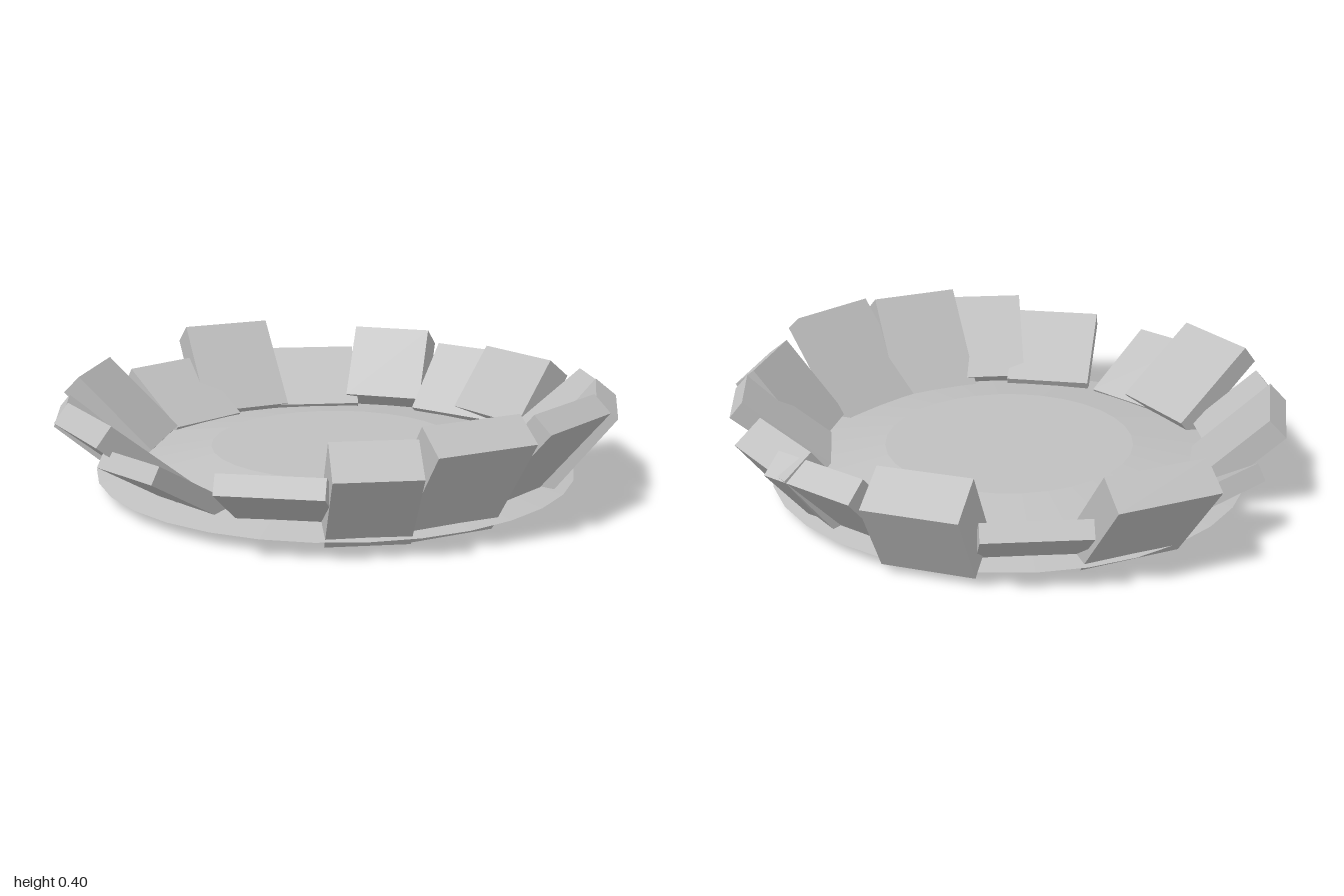
import * as THREE from 'three';

const stone = new THREE.MeshStandardMaterial({ color: 0xc0c0c0 });
stone.name = 'stone grey';

// Rim slabs: x, z and height of the inner top edge, heading, width, lean, thickness, lowest y
// (angles in degrees; heading 0 faces the front)
const slabs = [
  [0.30, 0.82, 0.40, 19, 0.33, 35, 0.12, 0.0],
  [0.62, 0.67, 0.40, 42, 0.34, 40, 0.08, 0.01],
  [0.835, 0.30, 0.35, 73, 0.33, 38, 0.09, 0.02],
  [0.905, 0.03, 0.33, 91, 0.27, 50, 0.07, 0.04],
  [0.745, -0.39, 0.33, 121, 0.34, 37, 0.12, 0.04],
  [0.63, -0.585, 0.31, 138, 0.35, 41, 0.09, 0.025],
  [0.32, -0.775, 0.36, 157, 0.30, 30, 0.16, 0.03],
  [0.01, -0.92, 0.26, 179, 0.33, 53, 0.06, 0.03],
  [-0.345, -0.85, 0.38, -162, 0.34, 38, 0.12, 0.01],
  [-0.60, -0.69, 0.26, -142, 0.31, 57, 0.06, 0.03],
  [-0.84, -0.29, 0.34, -106, 0.335, 45, 0.08, 0.03],
  [-0.92, 0.02, 0.28, -90, 0.28, 50, 0.05, 0.05],
  [-0.82, 0.39, 0.34, -64, 0.345, 50, 0.08, 0.04],
  [-0.685, 0.615, 0.26, -50, 0.26, 58, 0.06, 0.03],
  [-0.29, 0.905, 0.28, -15, 0.32, 60, 0.065, 0.04],
  [0.005, 0.88, 0.365, 0, 0.26, 39, 0.14, 0.01],
];

// A slab that leans outwards, hung from its inner top edge
function makeSlab([x, z, top, heading, width, lean, depth, low]) {
  const tilt = THREE.MathUtils.degToRad(lean);
  const length = (top - depth * Math.sin(tilt) - low) / Math.cos(tilt);
  const geometry = new THREE.BoxGeometry(width, length, depth);
  geometry.translate(0, -length / 2, depth / 2);
  geometry.rotateX(tilt);
  const mesh = new THREE.Mesh(geometry, stone);
  mesh.rotation.y = THREE.MathUtils.degToRad(heading);
  mesh.position.set(x, top, z);
  return mesh;
}

export function createModel() {
  const model = new THREE.Group();
  model.name = 'crater';

  // Shallow faceted floor rising to a flat middle
  const floorGeometry = new THREE.CylinderGeometry(0.435, 0.83, 0.07, 32).toNonIndexed();
  floorGeometry.computeVertexNormals();
  const floor = new THREE.Mesh(floorGeometry, stone);
  floor.name = 'craterFloor';
  floor.position.y = 0.077;
  model.add(floor);

  // Ring of broken slabs around the rim
  const rim = new THREE.Group();
  rim.name = 'rimSlabs';
  slabs.forEach((spec, i) => {
    const slab = makeSlab(spec);
    slab.name = `rimSlab${i + 1}`;
    rim.add(slab);
  });
  model.add(rim);

  return model;
}
